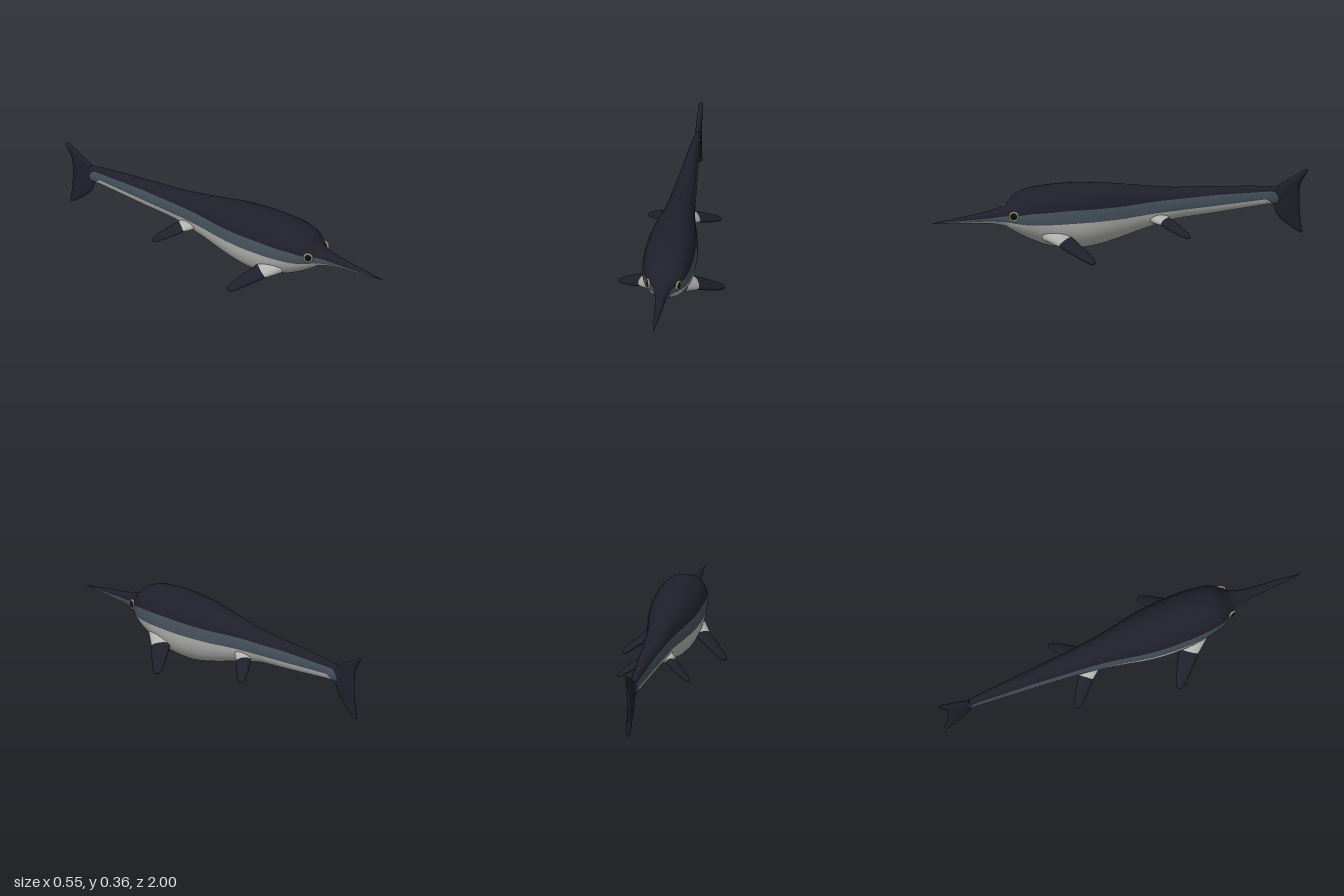
import * as THREE from 'three';

const mat = (name, hex) => {
  const m = new THREE.MeshStandardMaterial({ color: hex });
  m.name = name;
  return m;
};

// Skin closed rings together; bandOf(column) picks the material group
function loft(rings, bands = 1, bandOf = () => 0) {
  const n = rings[0].length, pos = [], index = [];
  rings.forEach(r => r.forEach(p => pos.push(p.x, p.y, p.z)));
  const geo = new THREE.BufferGeometry();
  for (let b = 0; b < bands; b++) {
    const start = index.length;
    for (let i = 0; i < rings.length - 1; i++) {
      for (let j = 0; j < n; j++) {
        if (bandOf(j) !== b) continue;
        const k = (j + 1) % n, a = i * n, c = a + n;
        index.push(a + j, a + k, c + j, a + k, c + k, c + j);
      }
    }
    geo.addGroup(start, index.length - start, b);
  }
  geo.setAttribute('position', new THREE.Float32BufferAttribute(pos, 3));
  geo.setIndex(index);
  geo.computeVertexNormals();
  return geo;
}

// Ellipse around a centre, spanned by two half-axis vectors
function ellipse(center, u, v, n = 20) {
  return Array.from({ length: n }, (_, i) => {
    const a = i / n * Math.PI * 2;
    return center.clone().addScaledVector(u, Math.cos(a)).addScaledVector(v, Math.sin(a));
  });
}

// Body stations: z, top, bottom, half width
const STATIONS = [
  [-0.92, 0.24, 0.21, 0.008], [-0.86, 0.262, 0.185, 0.015], [-0.82, 0.27, 0.178, 0.019],
  [-0.78, 0.275, 0.18, 0.022], [-0.7, 0.283, 0.174, 0.028], [-0.5, 0.297, 0.158, 0.043],
  [-0.3, 0.308, 0.145, 0.06], [-0.2, 0.32, 0.125, 0.068], [-0.1, 0.335, 0.1, 0.079],
  [0, 0.35, 0.072, 0.096], [0.1, 0.364, 0.048, 0.116], [0.2, 0.371, 0.035, 0.129],
  [0.3, 0.374, 0.04, 0.133], [0.4, 0.371, 0.065, 0.13], [0.5, 0.358, 0.11, 0.116],
  [0.55, 0.335, 0.14, 0.098], [0.585, 0.303, 0.162, 0.076], [0.62, 0.28, 0.181, 0.05],
  [0.7, 0.262, 0.199, 0.029], [0.8, 0.247, 0.206, 0.02], [0.9, 0.234, 0.213, 0.011],
  [1, 0.221, 0.219, 0.001],
];
// Heights of the colour boundaries along z: back/flank, flank/belly
const BOUNDS = [
  [-0.92, 0.15, 0.1], [-0.85, 0.15, 0.1], [-0.835, 0.22, 0.1], [-0.82, 0.245, 0.15], [-0.8, 0.25, 0.19],
  [-0.77, 0.252, 0.212], [-0.5, 0.262, 0.205], [-0.2, 0.262, 0.2], [0, 0.257, 0.192],
  [0.3, 0.266, 0.198], [0.5, 0.262, 0.2], [0.6, 0.245, 0.208], [0.7, 0.232, 0.215], [1, 0.2202, 0.2197],
];

function boundsAt(z) {
  let i = 0;
  while (i < BOUNDS.length - 2 && BOUNDS[i + 1][0] < z) i++;
  const a = BOUNDS[i], b = BOUNDS[i + 1];
  const t = THREE.MathUtils.clamp((z - a[0]) / (b[0] - a[0]), 0, 1);
  return [1, 2].map(k => THREE.MathUtils.lerp(a[k], b[k], t));
}

const SEG = 8; // columns per colour band on each side

function bodyGeometry() {
  const curve = cols => new THREE.CatmullRomCurve3(
    STATIONS.map(s => new THREE.Vector3(s[cols[0]], s[cols[1]], s[cols[2]])), false, 'catmullrom', 0.5);
  const profile = curve([0, 1, 2]), width = curve([3, 3, 3]);
  const rings = [], rows = 170;
  for (let i = 0; i <= rows; i++) {
    const { x: z, y: top, z: bot } = profile.getPoint(i / rows);
    const w = width.getPoint(i / rows).x;
    const mid = (top + bot) / 2, h = (top - bot) / 2, [upper, lower] = boundsAt(z);
    const power = a => (a > 0 ? 2.4 : 2);
    const angleAt = y => {
      const t = THREE.MathUtils.clamp((y - mid) / h, -1, 1);
      return Math.sign(t) * Math.asin(Math.abs(t) ** (power(t) / 2));
    };
    const lim = Math.PI / 2;
    const low = THREE.MathUtils.clamp(angleAt(lower), -lim + 0.01, lim - 0.04);
    const high = THREE.MathUtils.clamp(angleAt(upper), low + 0.01, lim - 0.02);
    const stops = [-lim, low, high, lim], side = [];
    for (let j = 0; j <= SEG * 3; j++) {
      const b = Math.min(2, Math.floor(j / SEG));
      const a = THREE.MathUtils.lerp(stops[b], stops[b + 1], j / SEG - b);
      const e = 2 / power(a);
      side.push(new THREE.Vector3(
        w * Math.max(0, Math.cos(a)) ** e,
        mid + h * Math.sign(a) * Math.abs(Math.sin(a)) ** e, z));
    }
    const other = side.slice(1, -1).reverse().map(p => new THREE.Vector3(-p.x, p.y, p.z));
    rings.push([...side, ...other]);
  }
  const half = SEG * 3;
  return loft(rings, 3, j => Math.floor((j < half ? j : 2 * half - 1 - j) / SEG));
}

// Flipper from root to tip; each section is [position, half chord, half thickness]
function flipperGeometry(root, tip, chord, sections) {
  const span = tip.clone().sub(root);
  const dir = span.clone().normalize();
  const c = chord.clone().addScaledVector(dir, -chord.dot(dir)).normalize();
  const n = dir.clone().cross(c);
  return loft(sections.map(([t, hc, ht]) => ellipse(
    root.clone().addScaledVector(span, t), c.clone().multiplyScalar(hc), n.clone().multiplyScalar(ht))));
}

export function createModel() {
  const model = new THREE.Group();
  const back = mat('dark back', 0x20202c);
  const flank = mat('slate flank', 0x47535e);
  const belly = mat('pale belly', 0xb4b4b1);
  const iris = mat('tan eye ring', 0x968a72);
  const pupil = mat('black pupil', 0x0d0d12);
  const add = (name, geo, material, parent = model) => {
    const mesh = new THREE.Mesh(geo, material);
    mesh.name = name;
    parent.add(mesh);
    return mesh;
  };

  add('body', bodyGeometry(), [belly, flank, back]);

  // Tail fluke: y, leading z, trailing z, half thickness
  const fluke = [
    [0.014, -0.964, -0.968, 0.002], [0.022, -0.948, -0.97, 0.011], [0.05, -0.908, -0.964, 0.012],
    [0.1, -0.85, -0.958, 0.013], [0.14, -0.825, -0.955, 0.014], [0.18, -0.815, -0.954, 0.015],
    [0.225, -0.838, -0.954, 0.015], [0.262, -0.822, -0.956, 0.015], [0.285, -0.858, -0.966, 0.014],
    [0.31, -0.91, -0.98, 0.013], [0.335, -0.958, -0.996, 0.012], [0.345, -0.974, -1, 0.01],
    [0.35, -0.986, -0.996, 0.002],
  ];
  add('tailFluke', loft(fluke.map(([y, lead, trail, t]) => ellipse(
    new THREE.Vector3(0, y, (lead + trail) / 2),
    new THREE.Vector3(0, 0, (lead - trail) / 2), new THREE.Vector3(t, 0, 0)))), back);

  for (const s of [1, -1]) {
    const side = s > 0 ? 'left' : 'right';
    const v = (x, y, z) => new THREE.Vector3(s * x, y, z);

    // Front flipper with a pale swelling at its root
    const fRoot = v(0.095, 0.125, 0.355), fTip = v(0.264, 0.018, 0.216), fChord = v(0.03, -0.01, 0.07);
    add(side + 'FrontFlipper', flipperGeometry(fRoot, fTip, fChord, [
      [0, 0.052, 0.024], [0.3, 0.048, 0.023], [0.55, 0.041, 0.02], [0.8, 0.03, 0.017],
      [0.95, 0.021, 0.013], [1, 0.014, 0.009], [1.01, 0.001, 0.001]]), back);
    add(side + 'FrontFlipperRoot', flipperGeometry(fRoot, fTip, fChord, [
      [-0.2, 0.075, 0.045], [0, 0.063, 0.036], [0.16, 0.053, 0.027], [0.24, 0.044, 0.02]]), belly);

    // Rear flipper
    const rRoot = v(0.045, 0.168, -0.195), rTip = v(0.183, 0.09, -0.315), rChord = v(0.03, -0.01, 0.07);
    add(side + 'RearFlipper', flipperGeometry(rRoot, rTip, rChord, [
      [0, 0.038, 0.018], [0.35, 0.037, 0.018], [0.6, 0.032, 0.016], [0.85, 0.023, 0.012],
      [0.97, 0.015, 0.009], [1.03, 0.001, 0.001]]), back);
    add(side + 'RearFlipperRoot', flipperGeometry(rRoot, rTip, rChord, [
      [-0.15, 0.055, 0.032], [0.05, 0.046, 0.026], [0.22, 0.036, 0.016]]), belly);

    // Eye: pupil dome inside a ring, turned outward and slightly forward
    const eye = new THREE.Group();
    eye.name = side + 'Eye';
    eye.position.set(s * 0.077, 0.246, 0.587);
    eye.rotation.y = s * 1.2;
    model.add(eye);
    add('eyeRing', new THREE.TorusGeometry(0.021, 0.006, 10, 32), iris, eye);
    const dome = add('pupil', new THREE.SphereGeometry(0.019, 24, 16), pupil, eye);
    dome.scale.z = 0.5;
  }
  return model;
}
